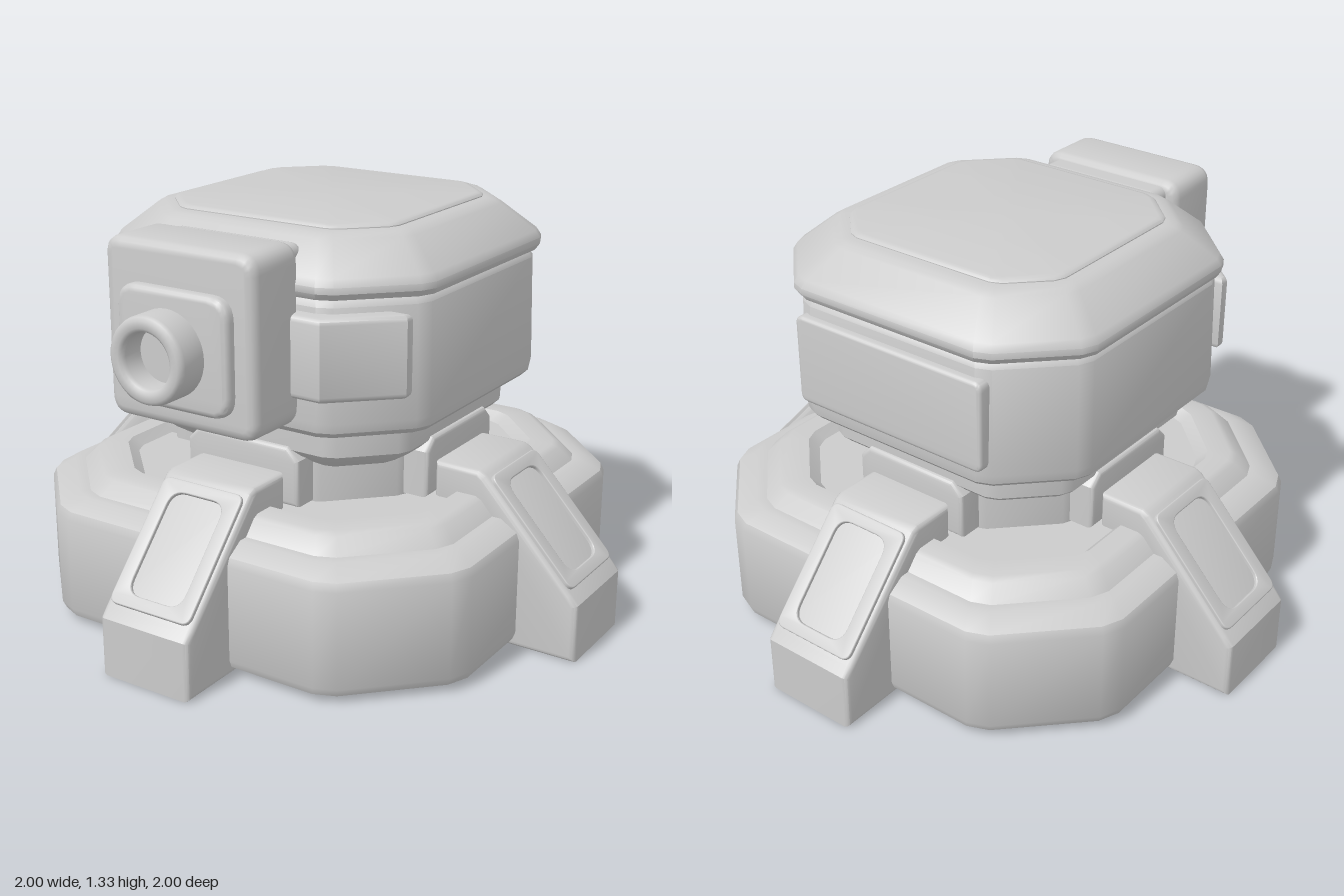
import * as THREE from 'three';
import { toCreasedNormals } from 'three/addons/utils/BufferGeometryUtils.js';
import { RoundedBoxGeometry } from 'three/addons/geometries/RoundedBoxGeometry.js';

const material = new THREE.MeshStandardMaterial({ color: 0xcccccc });

function add(parent, name, geometry, x = 0, y = 0, z = 0) {
  const mesh = new THREE.Mesh(geometry, material);
  mesh.name = name;
  mesh.position.set(x, y, z);
  parent.add(mesh);
  return mesh;
}

// Square outline with cut corners, each remaining corner softened
function cutSquare(half, ratio) {
  const k = half * (1 - ratio), s = half * 0.05;
  const corners = [[half, -k], [half, k], [k, half], [-k, half], [-half, k], [-half, -k], [-k, -half], [k, -half]];
  const points = [];
  corners.forEach(([x, z], i) => {
    for (const [nx, nz] of [corners[(i + 7) % 8], corners[(i + 1) % 8]]) {
      const t = s / Math.hypot(nx - x, nz - z);
      points.push([x + (nx - x) * t, z + (nz - z) * t]);
    }
  });
  return points;
}

// Stack of cut squares: profile is [half width, height] from bottom to top
function loft(profile, ratio) {
  const n = 16, positions = [], index = [];
  for (const [half, y] of profile) {
    for (const [x, z] of cutSquare(half, ratio)) positions.push(x, y, z);
  }
  for (let i = 0; i < profile.length - 1; i++) {
    for (let j = 0; j < n; j++) {
      const a = i * n + j, b = i * n + (j + 1) % n;
      index.push(a, a + n, b, b, a + n, b + n);
    }
  }
  const last = profile.length - 1, bottom = profile.length * n, top = bottom + 1;
  positions.push(0, profile[0][1], 0, 0, profile[last][1], 0);
  for (let j = 0; j < n; j++) {
    const k = (j + 1) % n;
    index.push(bottom, j, k, top, last * n + k, last * n + j);
  }
  const geometry = new THREE.BufferGeometry();
  geometry.setAttribute('position', new THREE.Float32BufferAttribute(positions, 3));
  geometry.setIndex(index);
  return toCreasedNormals(geometry, 0.6);
}

// Bevelled slab of an outline, centred on z
function slab(shape, depth, bevel) {
  const geometry = new THREE.ExtrudeGeometry(shape, {
    depth: depth - 2 * bevel, bevelEnabled: bevel > 0, bevelSize: bevel, bevelThickness: bevel,
    bevelOffset: -bevel, bevelSegments: 3, curveSegments: 6,
  });
  geometry.translate(0, 0, bevel - depth / 2);
  return toCreasedNormals(geometry, 0.6);
}

const polygon = (points) => new THREE.Shape(points.map(([x, y]) => new THREE.Vector2(x, y)));

function roundedRect(target, w, h, r) {
  const x = w / 2, y = h / 2;
  target.moveTo(-x + r, -y).lineTo(x - r, -y).quadraticCurveTo(x, -y, x, -y + r)
    .lineTo(x, y - r).quadraticCurveTo(x, y, x - r, y)
    .lineTo(-x + r, y).quadraticCurveTo(-x, y, -x, y - r)
    .lineTo(-x, -y + r).quadraticCurveTo(-x, -y, -x + r, -y);
  return target;
}

// One leg pointing along +x, with a framed recess on its slope
function createLeg() {
  const leg = new THREE.Group();
  leg.name = 'leg';
  const outline = polygon([[0.69, 0], [1, 0], [1, 0.19], [0.975, 0.22], [0.675, 0.545], [0.65, 0.557], [0.5, 0.557], [0.5, 0.4], [0.69, 0.4]]);
  add(leg, 'legBody', slab(outline, 0.33, 0.018));

  const frameShape = roundedRect(new THREE.Shape(), 0.3, 0.42, 0.03);
  frameShape.holes.push(roundedRect(new THREE.Path(), 0.2, 0.34, 0.05));
  const frame = add(leg, 'legFrame', slab(frameShape, 0.02, 0.004), 0.826, 0.384, 0);
  // Tilt the frame onto the slope
  const normal = new THREE.Vector3(0.325, 0.3, 0).normalize();
  const along = new THREE.Vector3(-0.3, 0.325, 0).normalize();
  frame.quaternion.setFromRotationMatrix(
    new THREE.Matrix4().makeBasis(new THREE.Vector3().crossVectors(along, normal), along, normal));

  // Shoulder bracket between leg and neck
  const bracket = polygon([[-0.21, 0.45], [0.21, 0.45], [0.21, 0.6], [0.17, 0.64], [-0.17, 0.64], [-0.21, 0.6]]);
  add(leg, 'legBracket', slab(bracket, 0.11, 0.015), 0.445, 0, 0).rotation.y = Math.PI / 2;
  return leg;
}

export function createModel() {
  const model = new THREE.Group();
  model.name = 'turret';

  // Base with stepped rim and sunken deck
  add(model, 'base', loft([
    [0.77, 0.012], [0.79, 0.025], [0.8, 0.05], [0.8, 0.36], [0.79, 0.385], [0.735, 0.42], [0.705, 0.42],
    [0.665, 0.465], [0.645, 0.475], [0.58, 0.475], [0.55, 0.445], [0.3, 0.445],
  ], 0.37));

  for (let i = 0; i < 4; i++) {
    const leg = createLeg();
    leg.rotation.y = i * Math.PI / 2;
    model.add(leg);
  }

  // Neck
  add(model, 'neckColumn', loft([[0.42, 0.43], [0.42, 0.58]], 0.48));
  add(model, 'neckCollar', loft([
    [0.37, 0.55], [0.39, 0.56], [0.465, 0.61], [0.485, 0.63], [0.485, 0.72],
  ], 0.35));

  // Head
  add(model, 'headBody', loft([
    [0.52, 0.708], [0.55, 0.72], [0.57, 0.74], [0.575, 0.77], [0.567, 1.12], [0.555, 1.14], [0.54, 1.15],
  ], 0.38));
  add(model, 'lid', loft([
    [0.55, 1.138], [0.575, 1.145], [0.588, 1.165], [0.588, 1.185], [0.575, 1.208],
    [0.475, 1.295], [0.455, 1.308], [0.43, 1.312],
  ], 0.38));
  add(model, 'lidPanel', loft([[0.415, 1.29], [0.415, 1.315], [0.408, 1.322], [0.395, 1.325]], 0.33));

  // Band wrapping the front corners
  const band = polygon([[-0.555, -0.41], [-0.555, -0.44], [-0.37, -0.617], [0.37, -0.617], [0.555, -0.44], [0.555, -0.41]]);
  add(model, 'frontBand', slab(band, 0.255, 0.02), 0, 0.975, 0).rotation.x = -Math.PI / 2;

  // Back panel
  add(model, 'backPanel', slab(roundedRect(new THREE.Shape(), 0.73, 0.3, 0.03), 0.06, 0.012), 0, 0.94, -0.565);

  // Gun housing
  const housing = roundedRect(new THREE.Shape(), 0.54, 0.55, 0.06);
  add(model, 'gunHousing', slab(housing, 0.225, 0.03), 0, 1.03, 0.678);
  add(model, 'gunMount', new RoundedBoxGeometry(0.46, 0.47, 0.2, 3, 0.03), 0, 1.05, 0.585);
  const plate = roundedRect(new THREE.Shape(), 0.4, 0.36, 0.07);
  add(model, 'gunPlate', slab(plate, 0.08, 0.02), 0, 1, 0.785);

  // Barrel with open bore
  const profile = [[0.1, 0.8], [0.115, 0.835], [0.132, 0.842], [0.132, 0.925], [0.128, 0.938], [0.118, 0.945],
    [0.097, 0.945], [0.087, 0.938], [0.083, 0.925], [0.083, 0.86], [0, 0.86]];
  const barrel = new THREE.LatheGeometry(profile.map(([r, h]) => new THREE.Vector2(r, h)), 40);
  add(model, 'barrel', toCreasedNormals(barrel, 0.7), 0, 1, 0).rotation.x = Math.PI / 2;

  return model;
}
